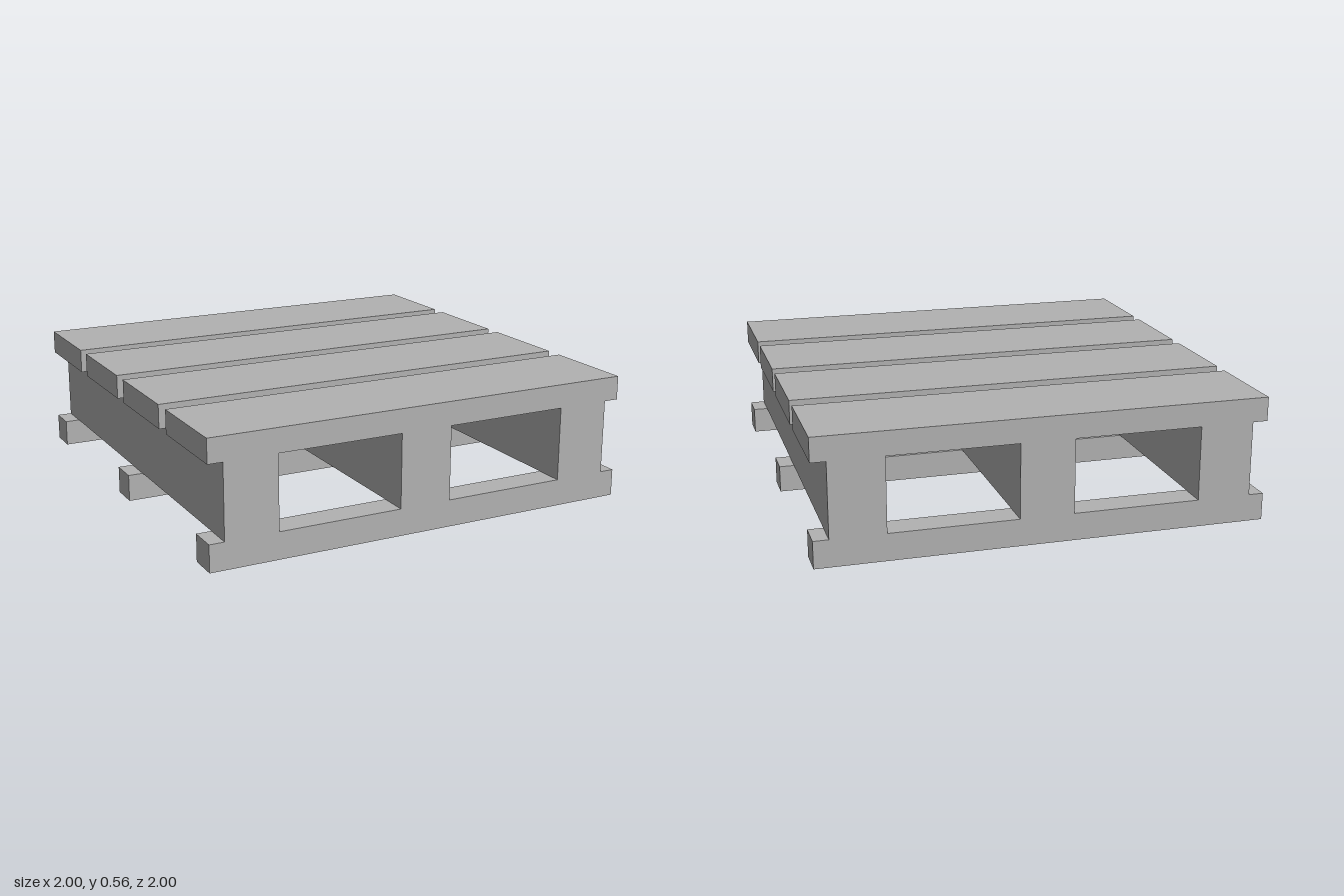
import * as THREE from 'three';

export function createModel() {
  const pallet = new THREE.Group();
  pallet.name = 'pallet';
  const wood = new THREE.MeshStandardMaterial({ color: 0xb2b2b2 });
  wood.name = 'greyWood';

  // Box spanning y0..y1, centred on x and z
  function board(name, width, depth, y0, y1, x, z) {
    const mesh = new THREE.Mesh(new THREE.BoxGeometry(width, y1 - y0, depth), wood);
    mesh.name = name;
    mesh.position.set(x, (y0 + y1) / 2, z);
    pallet.add(mesh);
  }

  const bottomTop = 0.122, deckBottom = 0.457, height = 0.565;

  // Four deck boards with narrow gaps
  for (let i = 0; i < 4; i++) {
    board('deckBoard' + (i + 1), 2, 0.44, deckBottom, height, 0, -0.78 + i * 0.52);
  }

  // Three stringers running front to back
  [-0.812, 0, 0.812].forEach((x, i) =>
    board('stringer' + (i + 1), 0.242, 2, bottomTop, deckBottom, x, 0));

  // Three bottom runners across the width
  [-0.933, 0, 0.933].forEach((z, i) =>
    board('bottomRunner' + (i + 1), 2, 0.134, 0, bottomTop, 0, z));

  return pallet;
}
